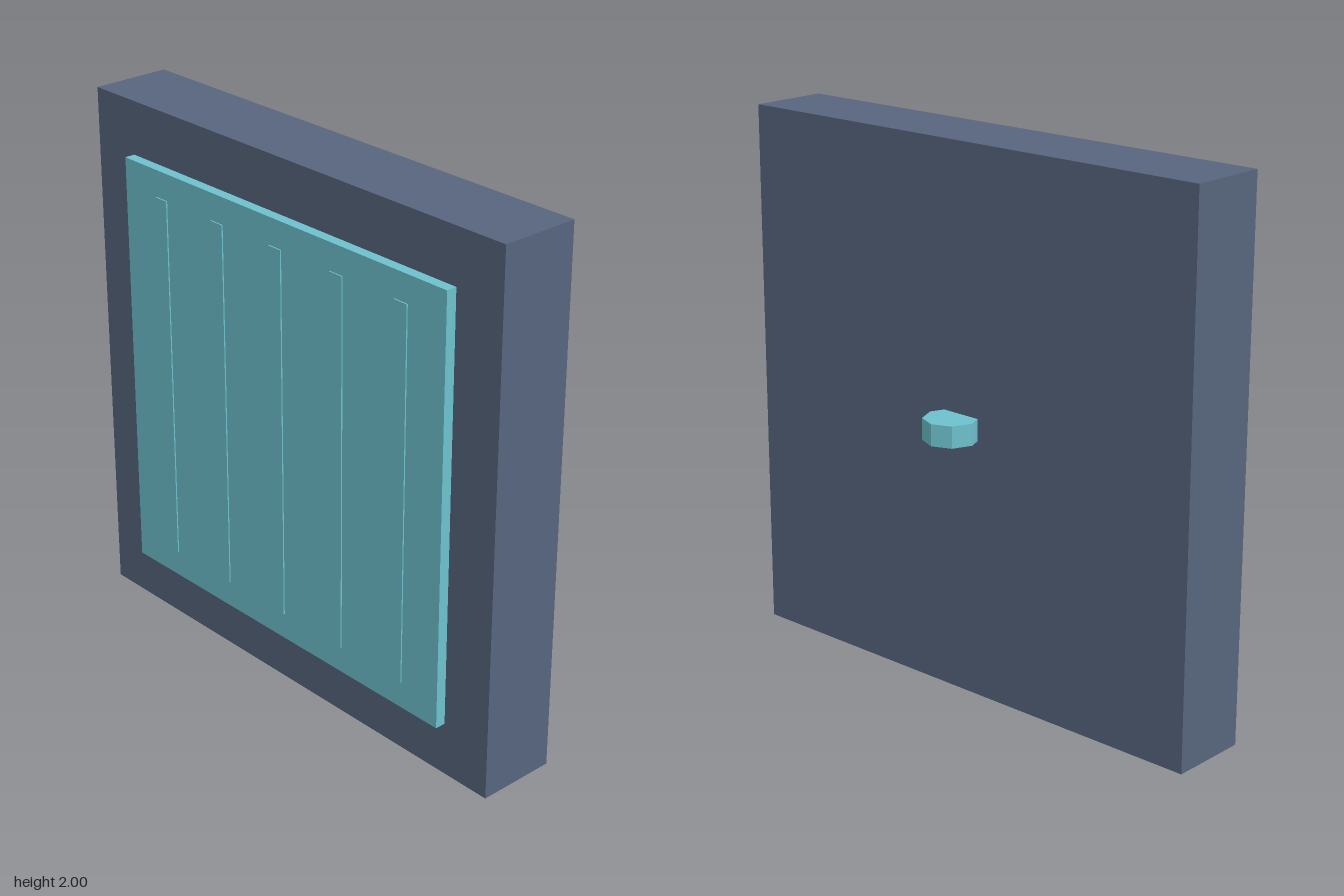
import * as THREE from 'three';

const slate = new THREE.MeshStandardMaterial({ color: 0x57657d });
slate.name = 'slate';
const teal = new THREE.MeshStandardMaterial({ color: 0x6dc1cd, flatShading: true });
teal.name = 'teal';

// Box spanning z0..z1, centred at x and y
function slab(name, material, width, height, z0, z1, x = 0, y = 1) {
  const mesh = new THREE.Mesh(new THREE.BoxGeometry(width, height, z1 - z0), material);
  mesh.name = name;
  mesh.position.set(x, y, (z0 + z1) / 2);
  return mesh;
}

export function createModel() {
  const model = new THREE.Group();
  model.name = 'wallPanel';

  // Thick backing board and raised front panel
  model.add(slab('board', slate, 2, 2, -0.0975, 0.2025));
  model.add(slab('frontPanel', teal, 1.6, 1.6, 0.2025, 0.2425));

  // Five shallow vertical ribs
  for (let i = -2; i <= 2; i++) {
    model.add(slab('rib', teal, 0.06, 1.4, 0.2425, 0.2475, i * 0.3));
  }

  // Octagonal knob half sunk in the back
  const knob = new THREE.Mesh(new THREE.CylinderGeometry(0.1, 0.1, 0.08, 8), teal);
  knob.name = 'backKnob';
  knob.position.set(0, 1, -0.1475);
  model.add(knob);

  return model;
}
